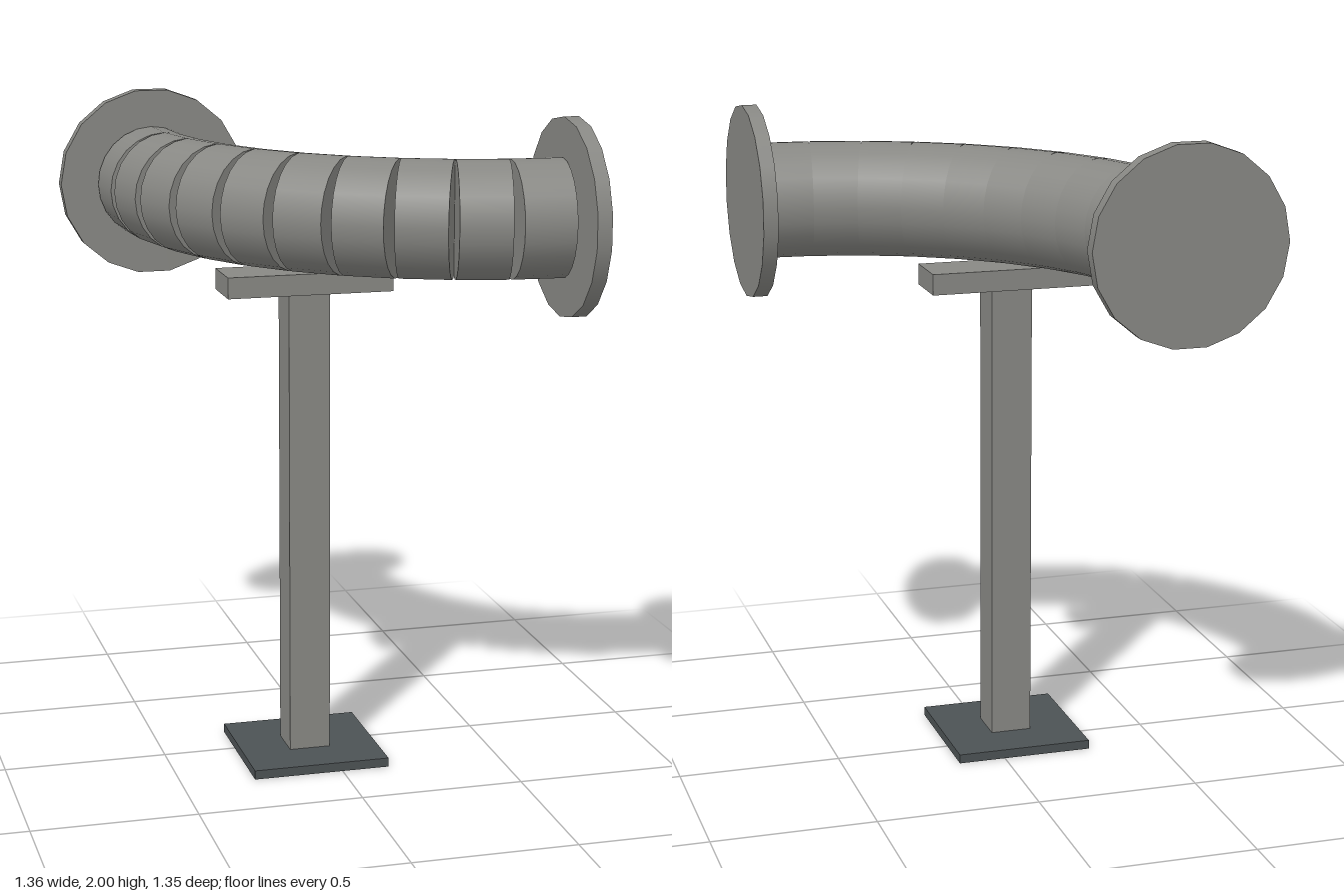
import * as THREE from 'three';

const BEND = 1.018;    // radius of the bend along the pipe axis
const CORNER = 0.633;  // bend centre sits at (CORNER, -CORNER)
const AXIS_Y = 1.706;  // height of the pipe axis
const PIPE_R = 0.177;
const SEGMENTS = 10;

export function createModel() {
  const model = new THREE.Group();
  const steel = new THREE.MeshStandardMaterial({ color: 0x888884 });
  steel.name = 'grey steel';
  const darkSteel = new THREE.MeshStandardMaterial({ color: 0x4c5254 });
  darkSteel.name = 'dark steel';

  const add = (name, geometry, material, x, y, z) => {
    const mesh = new THREE.Mesh(geometry, material);
    mesh.name = name;
    mesh.position.set(x, y, z);
    model.add(mesh);
    return mesh;
  };

  // Quarter bend of short straight pipe pieces, gaping on the outer side
  const step = Math.PI / 2 / SEGMENTS;
  const pieceGeometry = new THREE.CylinderGeometry(PIPE_R, PIPE_R, 0.156, 24).rotateX(Math.PI / 2);
  for (let i = 0; i < SEGMENTS; i++) {
    const a = (i + 0.5) * step;
    const piece = add('pipeSegment' + (i + 1), pieceGeometry, steel,
      CORNER - BEND * Math.cos(a), AXIS_Y, -CORNER + BEND * Math.sin(a));
    piece.rotation.y = a;
  }

  // End flanges
  const flange = () => new THREE.CylinderGeometry(0.296, 0.296, 0.045, 18).rotateY(Math.PI / 2);
  const offset = CORNER + 0.0225;
  add('backFlange', flange().rotateX(Math.PI / 2), steel, CORNER - BEND, AXIS_Y, -offset);
  add('sideFlange', flange().rotateZ(Math.PI / 2), steel, offset, AXIS_Y, BEND - CORNER);

  // Support stand
  const cx = -0.065, cz = 0.065;
  add('saddlePlate', new THREE.BoxGeometry(0.508, 0.064, 0.17), steel, cx, 1.497, cz);
  add('post', new THREE.BoxGeometry(0.127, 1.437, 0.127), steel, cx, 0.7465, cz);
  add('basePlate', new THREE.BoxGeometry(0.423, 0.028, 0.423), darkSteel, cx, 0.014, cz);

  return model;
}
